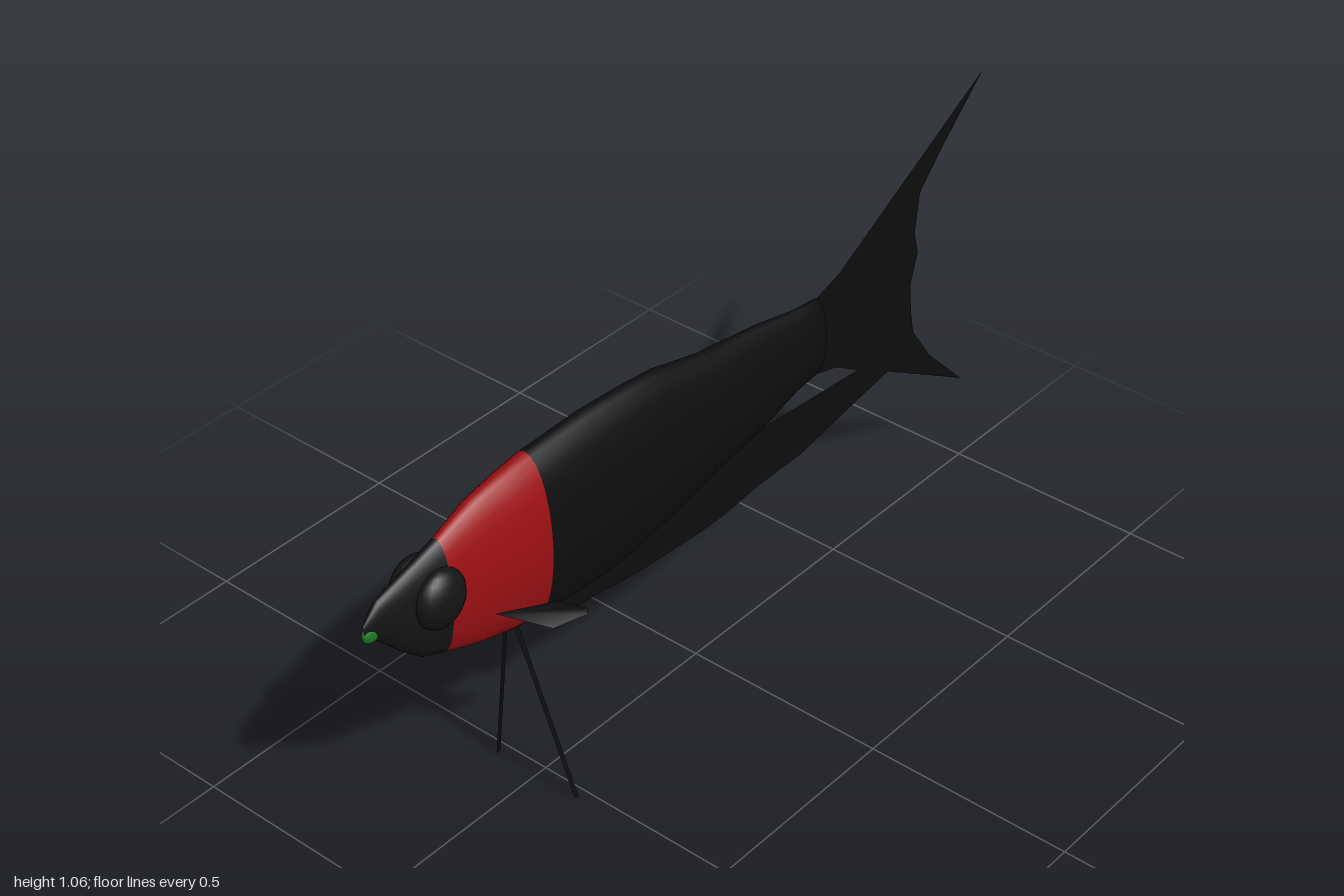
import * as THREE from 'three';

const mat = (name, color, side = THREE.FrontSide) => {
  const m = new THREE.MeshStandardMaterial({ color, side });
  m.name = name;
  return m;
};

// Body sections from nose to tail: z, bottom, top, half width
const SECTIONS = [
  [0.99, 0.67, 0.692, 0.004], [0.95, 0.632, 0.733, 0.018], [0.9, 0.578, 0.748, 0.028],
  [0.845, 0.528, 0.765, 0.035], [0.783, 0.502, 0.785, 0.04], [0.68, 0.465, 0.825, 0.055],
  [0.6, 0.446, 0.839, 0.064], [0.525, 0.433, 0.85, 0.069], [0.36, 0.42, 0.856, 0.07],
  [0.24, 0.424, 0.85, 0.068], [0.13, 0.443, 0.84, 0.064], [-0.02, 0.476, 0.803, 0.056],
  [-0.2, 0.502, 0.78, 0.043], [-0.33, 0.538, 0.753, 0.034], [-0.41, 0.548, 0.745, 0.03],
  [-0.411, 0.64, 0.65, 0.001],
];
const RED_FROM = 4, RED_TO = 7;

// Elliptical loft with one material group per colour zone
function loftBody(sides = 28) {
  const pos = [], index = [], geo = new THREE.BufferGeometry();
  for (const [z, lo, hi, w] of SECTIONS)
    for (let j = 0; j < sides; j++) {
      const a = (j / sides) * Math.PI * 2;
      pos.push(Math.cos(a) * w, (lo + hi) / 2 + Math.sin(a) * (hi - lo) / 2, z);
    }
  const last = SECTIONS.length - 1;
  for (let i = 0; i < last; i++)
    for (let j = 0; j < sides; j++) {
      const k = (j + 1) % sides, a = i * sides, b = a + sides;
      index.push(a + j, b + j, b + k, a + j, b + k, a + k);
    }
  const cuts = [0, RED_FROM, RED_TO, last];
  for (let g = 0; g < 3; g++)
    geo.addGroup(cuts[g] * sides * 6, (cuts[g + 1] - cuts[g]) * sides * 6, g);
  geo.setAttribute('position', new THREE.Float32BufferAttribute(pos, 3));
  geo.setIndex(index);
  geo.computeVertexNormals();
  return geo;
}

// Flat fin on the centre plane from [z, y] outline points
function flatFin(points) {
  const shape = new THREE.Shape(points.map(([z, y]) => new THREE.Vector2(-z, y)));
  return new THREE.ShapeGeometry(shape).rotateY(Math.PI / 2);
}

// Fan of triangles through 3D points
function fan(points) {
  const index = [];
  for (let i = 1; i < points.length - 1; i++) index.push(0, i, i + 1);
  const geo = new THREE.BufferGeometry();
  geo.setAttribute('position', new THREE.Float32BufferAttribute(points.flat(), 3));
  geo.setIndex(index);
  geo.computeVertexNormals();
  return geo;
}

export function createModel() {
  const group = new THREE.Group();
  const bodyBlack = mat('bodyBlack', 0x0e0e0e);
  const headBlack = mat('headBlack', 0x141414);
  const finBlack = mat('finBlack', 0x0d0d0d, THREE.DoubleSide);
  const red = mat('bandRed', 0x9c1013);
  const green = mat('mouthGreen', 0x1c7a26);

  const add = (name, geo, material) => {
    const mesh = new THREE.Mesh(geo, material);
    mesh.name = name;
    group.add(mesh);
    return mesh;
  };

  // Head, red band and trunk
  add('body', loftBody(), [headBlack, red, bodyBlack]);

  // Small mouth at the tip of the nose
  const mouth = add('mouth', new THREE.SphereGeometry(1, 12, 8), green);
  mouth.scale.set(0.012, 0.022, 0.025);
  mouth.position.set(0, 0.665, 0.968);

  // Forked tail
  add('tailFin', flatFin([
    [-0.4, 0.743], [-0.49, 0.772], [-1, 1.064], [-0.86, 0.93], [-0.78, 0.845],
    [-0.767, 0.743], [-0.783, 0.685], [-0.76, 0.61], [-0.768, 0.53], [-0.78, 0.47],
    [-0.85, 0.37], [-0.985, 0.233], [-0.69, 0.406], [-0.57, 0.473], [-0.49, 0.522], [-0.4, 0.546],
  ]), finBlack);

  // Long belly fin reaching back to the tail
  add('bellyFin', flatFin([
    [0.47, 0.435], [0.44, 0.41], [0.42, 0.376], [0.3, 0.364], [0.2, 0.348], [0, 0.334],
    [-0.1, 0.334], [-0.2, 0.346], [-0.37, 0.35], [-0.5, 0.375], [-0.69, 0.408],
    [-0.57, 0.473], [-0.18, 0.5], [0, 0.52], [0.3, 0.48],
  ]), finBlack);

  for (const s of [1, -1]) {
    const side = s > 0 ? 'left' : 'right';

    // Bulging eye
    const eye = add(side + 'Eye', new THREE.SphereGeometry(1, 20, 14), headBlack);
    eye.scale.set(0.036, 0.068, 0.064);
    eye.position.set(s * 0.035, 0.673, 0.813);

    // Swept-back side fin
    add(side + 'SideFin', fan([
      [0.05, 0.56, 0.68], [0.12, 0.562, 0.57], [0.153, 0.53, 0.52],
      [0.152, 0.513, 0.52], [0.127, 0.51, 0.595], [0.055, 0.545, 0.66],
    ].map(([x, y, z]) => [s * x, y, z])), finBlack);

    // Thin blade-like leg
    const foot = [s * 0.113, 0, 0.527], hip = [s * 0.015, 0.45, 0.585], w = 0.006;
    add(side + 'Leg', fan([
      [foot[0], foot[1], foot[2] - w], [foot[0], foot[1], foot[2] + w],
      [hip[0], hip[1], hip[2] + w], [hip[0], hip[1], hip[2] - w],
    ]), finBlack);
  }
  return group;
}
